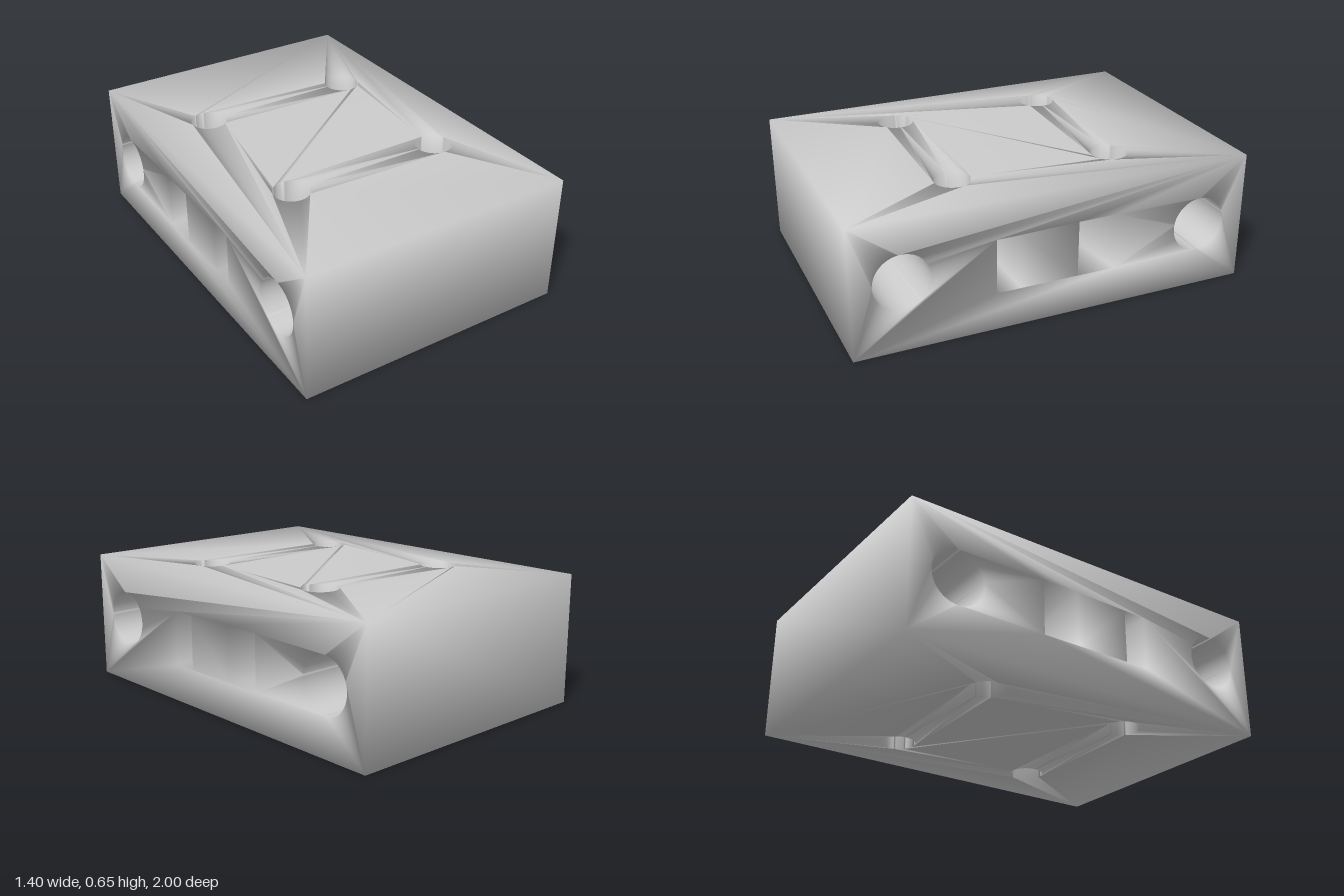
import * as THREE from 'three';
import { mergeVertices } from 'three/addons/utils/BufferGeometryUtils.js';

const W = 1.4, H = 0.65, L = 2;

// Rectangular outline or opening between two corners
function rect(x0, y0, x1, y1, Type = THREE.Path) {
  return new Type([[x0, y0], [x1, y0], [x1, y1], [x0, y1]].map(p => new THREE.Vector2(...p)));
}

function circle(x, y, r) {
  return new THREE.Path().absarc(x, y, r, 0, Math.PI * 2, false);
}

function drilledSlab(outline, holes, depth) {
  outline.holes.push(...holes);
  return new THREE.ExtrudeGeometry(outline, { depth, bevelEnabled: false, curveSegments: 48 });
}

// Triangle coordinates, without those lying flat on the planes axis = value
function trianglesExcept(geometry, planes) {
  const p = geometry.attributes.position.array, out = [];
  for (let i = 0; i < p.length; i += 9) {
    const onPlane = planes.some(([axis, value]) =>
      [0, 3, 6].every(k => Math.abs(p[i + k + axis] - value) < 1e-4));
    if (!onPlane) out.push(...p.subarray(i, i + 9));
  }
  return out;
}

export function createModel() {
  // Crosswise tunnels with the two long sides (shape x is -z)
  const across = drilledSlab(rect(-L / 2, 0, L / 2, H, THREE.Shape), [
    circle(-0.76, 0.346, 0.137),
    rect(-0.313, 0.188, -0.19, 0.461),
    rect(0.1, 0.188, 0.294, 0.469),
    circle(0.753, 0.329, 0.137),
  ], W);
  across.rotateY(Math.PI / 2).translate(-W / 2, 0, 0);

  // Upright bores with the top, bottom and ends
  const bores = [];
  for (const x of [-0.405, 0.405]) for (const z of [-0.405, 0.405]) bores.push(circle(x, z, 0.09));
  const upright = drilledSlab(rect(-W / 2, -L / 2, W / 2, L / 2, THREE.Shape), bores, H);
  upright.rotateX(-Math.PI / 2);

  // Join both sets of faces into one closed block with shared, smooth normals
  const positions = [
    ...trianglesExcept(across, [[1, 0], [1, H], [2, -L / 2], [2, L / 2]]),
    ...trianglesExcept(upright, [[0, -W / 2], [0, W / 2]]),
  ];
  const raw = new THREE.BufferGeometry();
  raw.setAttribute('position', new THREE.Float32BufferAttribute(positions, 3));
  const geometry = mergeVertices(raw, 1e-4);
  geometry.computeVertexNormals();

  const block = new THREE.Mesh(geometry, new THREE.MeshStandardMaterial({ color: 0xcccccc }));
  block.name = 'drilledBlock';
  const group = new THREE.Group();
  group.name = 'mountingBlock';
  group.add(block);
  return group;
}
